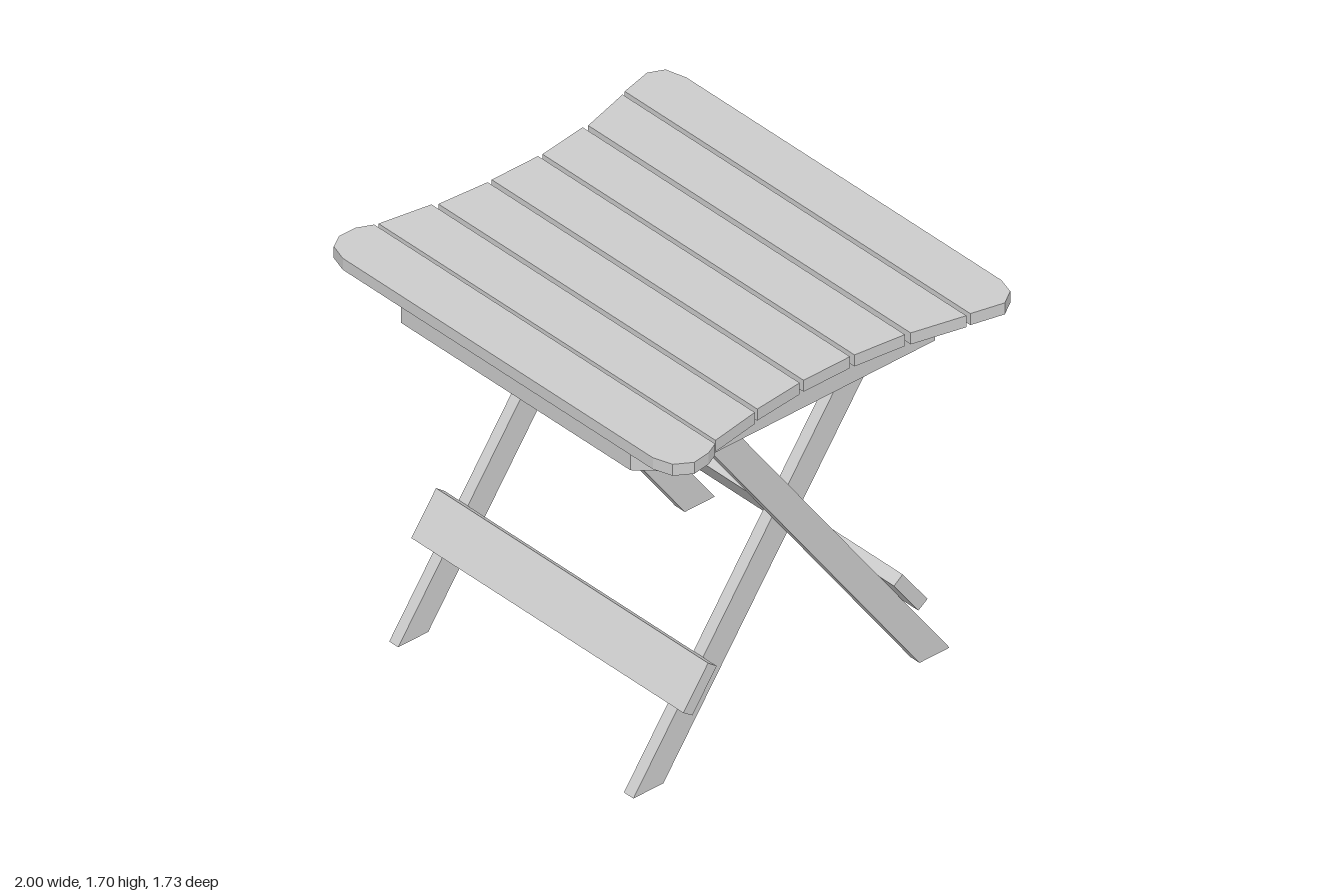
import * as THREE from 'three';

const material = new THREE.MeshStandardMaterial({ color: 0xcccccc, flatShading: true });
const toPoints = (list) => list.map(([a, b]) => new THREE.Vector2(a, b));

function part(name, geometry) {
  const mesh = new THREE.Mesh(geometry, material);
  mesh.name = name;
  return mesh;
}

function extrude(shape, depth) {
  return new THREE.ExtrudeGeometry(shape, { depth, bevelEnabled: false });
}

// Extrudes an outline of [x, z] points downward from height top to height bottom
function slab(shape, bottom, top) {
  return extrude(shape, top - bottom).rotateX(Math.PI / 2).translate(0, top, 0);
}

// Extrudes an outline of [z, y] points sideways from x0 to x1
function sideProfile(points, x0, x1) {
  return extrude(new THREE.Shape(toPoints(points)), x1 - x0).rotateY(-Math.PI / 2).translate(x1, 0, 0);
}

// Square with cut corners: half size and where the corner cuts begin
function octagon(half, cut) {
  return toPoints([
    [half, -cut], [half, cut], [cut, half], [-cut, half],
    [-half, cut], [-half, -cut], [-cut, -half], [cut, -half],
  ]);
}

// One scissor frame: two parallel legs, feet at the front, joined by a brace
function legFrame(name) {
  const frame = new THREE.Group();
  frame.name = name;
  const slope = 0.722;
  const topY = 1.645;
  const outer = 0.762;
  const inner = 0.613;
  const leg = [
    [outer, 0], [outer - slope * topY, topY],
    [inner - slope * topY, topY], [inner, 0],
  ];
  frame.add(part('rightLeg', sideProfile(leg, -0.705, -0.655)));
  frame.add(part('leftLeg', sideProfile(leg, 0.602, 0.655)));
  const brace = [[0.46, 0.512], [0.417, 0.479], [0.538, 0.312], [0.583, 0.344]];
  frame.add(part('brace', sideProfile(brace, -0.783, 0.732)));
  return frame;
}

export function createModel() {
  const model = new THREE.Group();
  model.name = 'foldingTable';

  // Tabletop slats, back to front, narrowing to a waist in the middle
  const slats = [
    [[-0.965, -0.638], [-1, -0.78], [-0.97, -0.845], [-0.88, -0.868],
      [0.874, -0.868], [0.95, -0.845], [0.993, -0.78], [0.96, -0.638]],
    [[-0.89, -0.39], [-0.955, -0.618], [0.96, -0.618], [0.906, -0.39]],
    [[-0.864, -0.14], [-0.895, -0.367], [0.9, -0.367], [0.874, -0.14]],
    [[-0.866, 0.11], [-0.866, -0.12], [0.871, -0.12], [0.871, 0.11]],
    [[-0.88, 0.362], [-0.864, 0.132], [0.874, 0.132], [0.896, 0.362]],
    [[-0.933, 0.612], [-0.895, 0.383], [0.906, 0.383], [0.944, 0.612]],
    [[-0.853, 0.86], [-0.933, 0.834], [-0.97, 0.775], [-0.97, 0.695], [-0.939, 0.628],
      [0.96, 0.628], [0.987, 0.685], [0.998, 0.765], [0.954, 0.834], [0.874, 0.86]],
  ];
  const top = new THREE.Group();
  top.name = 'tabletop';
  slats.forEach((outline, i) => {
    top.add(part('slat' + (i + 1), slab(new THREE.Shape(toPoints(outline)), 1.648, 1.7)));
  });
  model.add(top);

  // Hollow apron with cut corners
  const ring = new THREE.Shape(octagon(0.762, 0.638));
  ring.holes.push(new THREE.Path(octagon(0.705, 0.614)));
  model.add(part('apron', slab(ring, 1.475, 1.648)));

  // Two identical crossing frames, the second turned half way round
  const front = legFrame('frontLegFrame');
  const back = legFrame('backLegFrame');
  back.rotation.y = Math.PI;
  model.add(front, back);

  return model;
}
